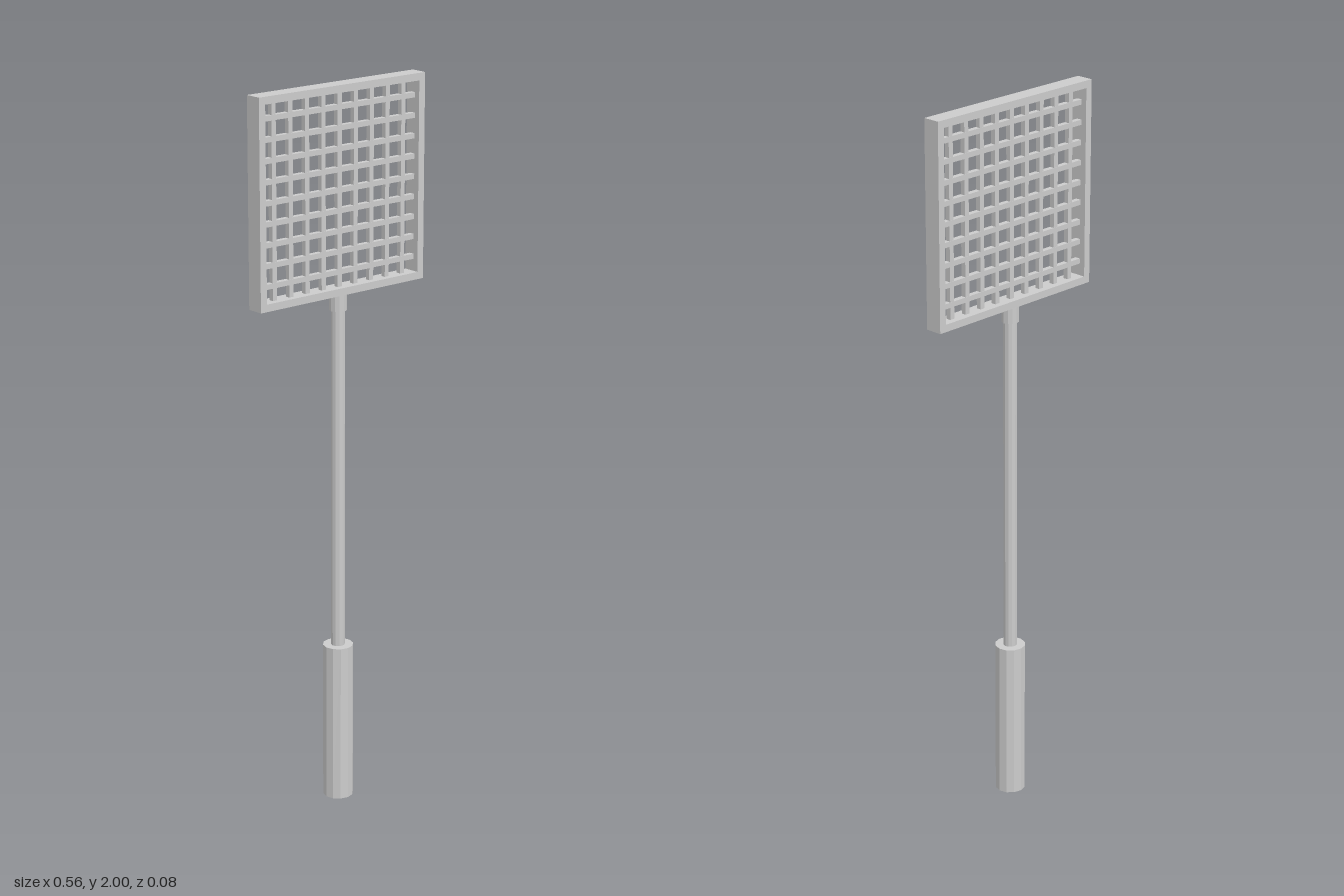
import * as THREE from 'three';

export function createModel() {
  const model = new THREE.Group();
  const material = new THREE.MeshStandardMaterial({ color: 0xcccccc, flatShading: true });

  const add = (name, geometry, x, y, z = 0, parent = model) => {
    const mesh = new THREE.Mesh(geometry, material);
    mesh.name = name;
    mesh.position.set(x, y, z);
    parent.add(mesh);
    return mesh;
  };
  const rod = (name, radius, y0, y1) =>
    add(name, new THREE.CylinderGeometry(radius, radius, y1 - y0, 12), 0, (y0 + y1) / 2);

  // Grip, shaft and the collar that holds the head
  rod('grip', 0.042, 0, 0.45);
  rod('shaft', 0.019, 0.45, 1.41);
  rod('collar', 0.024, 1.4, 1.45);

  // Square head
  const half = 0.278, border = 0.02, depth = 0.048;
  const head = new THREE.Group();
  head.name = 'head';
  head.position.y = 2 - half;
  model.add(head);

  // Frame with a square opening
  const square = (Type, h) => new Type([[-h, -h], [h, -h], [h, h], [-h, h]].map(([x, y]) => new THREE.Vector2(x, y)));
  const outline = square(THREE.Shape, half);
  outline.holes.push(square(THREE.Path, half - border));
  const frame = new THREE.ExtrudeGeometry(outline, { depth, bevelEnabled: false });
  add('frame', frame, 0, 0, -depth / 2, head);

  // Mesh of nine bars each way
  const length = 2 * (half - border) + 0.01, width = 0.014, spacing = 0.0545;
  for (let i = -4; i <= 4; i++) {
    add('verticalBar', new THREE.BoxGeometry(width, length, width), i * spacing, 0, 0, head);
    add('horizontalBar', new THREE.BoxGeometry(length, width, width + 0.001), 0, i * spacing, 0, head);
  }
  return model;
}
